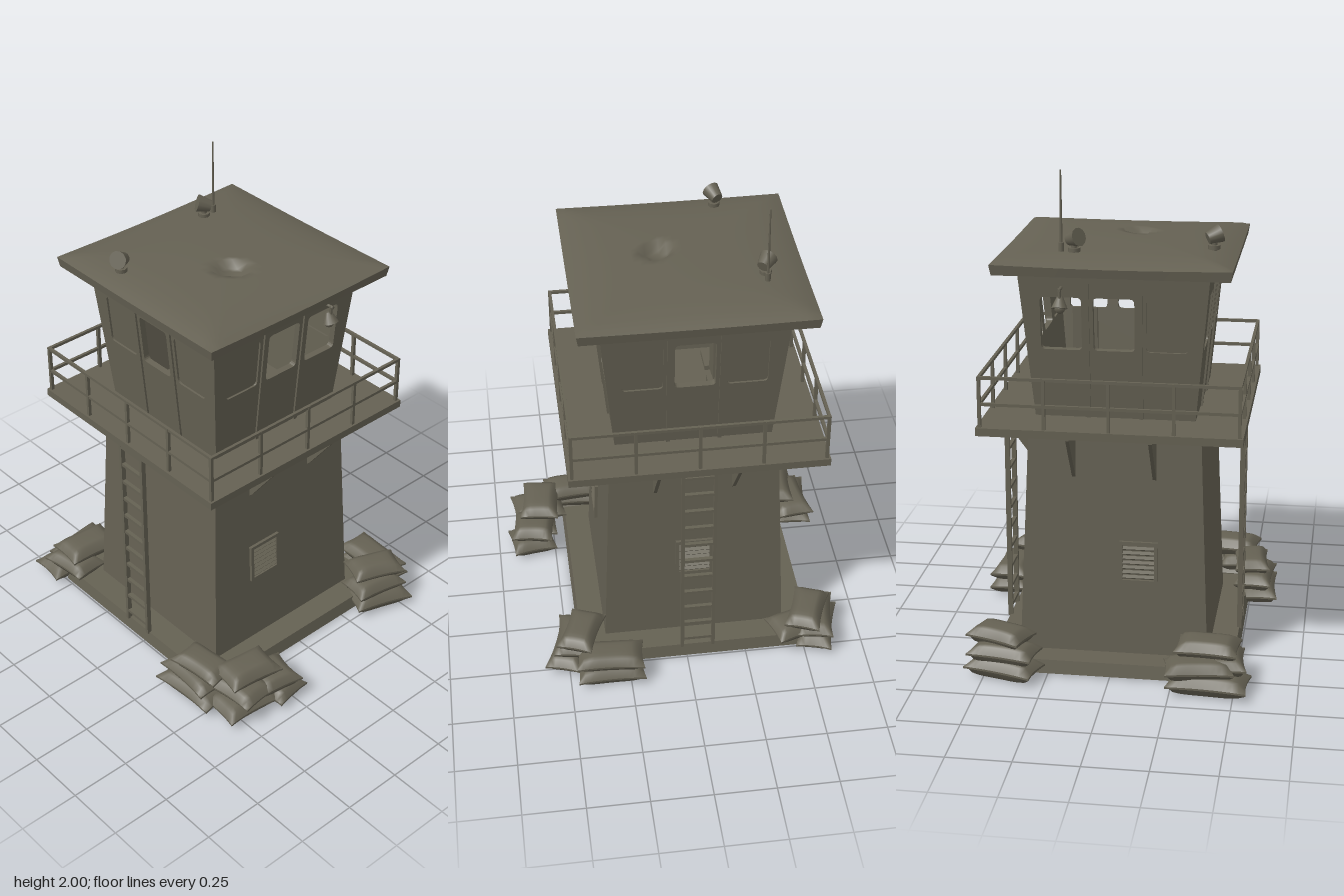
import * as THREE from 'three';

const olive = new THREE.MeshStandardMaterial({ color: 0x656153 });
olive.name = 'weathered olive';

function add(parent, name, geometry, x = 0, y = 0, z = 0) {
  const mesh = new THREE.Mesh(geometry, olive);
  mesh.name = name;
  mesh.position.set(x, y, z);
  parent.add(mesh);
  return mesh;
}
const box = (w, h, d) => new THREE.BoxGeometry(w, h, d);
const rod = (r, h) => new THREE.CylinderGeometry(r, r, h, 8);

function group(parent, name, x = 0, y = 0, z = 0) {
  const g = new THREE.Group();
  g.name = name;
  g.position.set(x, y, z);
  parent.add(g);
  return g;
}

// Square block tapering from one half-width to another
function taper(half0, half1, y0, y1) {
  const g = new THREE.BoxGeometry(2, y1 - y0, 2);
  const p = g.attributes.position;
  for (let i = 0; i < p.count; i++) {
    const top = p.getY(i) > 0, s = top ? half1 : half0;
    p.setXYZ(i, p.getX(i) * s, top ? y1 : y0, p.getZ(i) * s);
  }
  g.computeVertexNormals();
  return g;
}

// Slightly domed roof slab with a round dent
function roofGeometry() {
  const g = new THREE.BoxGeometry(0.92, 0.045, 0.92, 32, 1, 32);
  const p = g.attributes.position;
  for (let i = 0; i < p.count; i++) {
    const x = p.getX(i), z = p.getZ(i);
    if (p.getY(i) < 0) { p.setXYZ(i, x * 0.985, 1.62, z * 0.985); continue; }
    const edge = Math.max(Math.abs(x), Math.abs(z)) / 0.46;
    const dent = Math.hypot(x - 0.1, z - 0.04) < 0.055 ? 0.03 : 0;
    p.setY(i, 1.66 + 0.028 * (1 - Math.pow(edge, 6)) + 0.008 * Math.cos(x * 5) * Math.cos(z * 4) - dent);
  }
  g.computeVertexNormals();
  return g;
}

// Cabin wall: leaning trapezoid with three rounded window openings
const LEAN = Math.atan2(0.055, 0.59), WALL_H = Math.hypot(0.055, 0.59);
function wallGeometry() {
  const s = new THREE.Shape();
  s.moveTo(-0.315, 0);
  s.lineTo(0.315, 0);
  s.lineTo(0.37, WALL_H);
  s.lineTo(-0.37, WALL_H);
  s.closePath();
  for (const cx of [-0.205, 0, 0.205]) {
    const a = cx - 0.08, b = cx + 0.08, c = 0.28, d = 0.493, r = 0.018;
    const h = new THREE.Path();
    h.moveTo(a + r, c);
    h.lineTo(b - r, c);
    h.quadraticCurveTo(b, c, b, c + r);
    h.lineTo(b, d - r);
    h.quadraticCurveTo(b, d, b - r, d);
    h.lineTo(a + r, d);
    h.quadraticCurveTo(a, d, a, d - r);
    h.lineTo(a, c + r);
    h.quadraticCurveTo(a, c, a + r, c);
    s.holes.push(h);
  }
  return new THREE.ExtrudeGeometry(s, { depth: 0.025, bevelEnabled: false, curveSegments: 4 }).translate(0, 0, -0.025);
}

// Pillow-shaped bag with thin seams and pulled-out corners
function bagGeometry(len, wid, h) {
  const g = new THREE.BoxGeometry(2, 2, 2, 12, 2, 8);
  const p = g.attributes.position;
  for (let i = 0; i < p.count; i++) {
    const x = p.getX(i), z = p.getZ(i);
    const fat = 0.1 + 0.9 * Math.sqrt((1 - x ** 4) * (1 - z ** 4));
    p.setXYZ(i, x * len / 2 * (0.94 + 0.06 * z * z), p.getY(i) * h / 2 * fat, z * wid / 2 * (0.88 + 0.12 * x * x));
  }
  g.computeVertexNormals();
  return g;
}

function ladder(side) {
  const g = group(side, 'ladder', 0, 0, 0.485);
  for (const s of [-1, 1]) add(g, 'ladderRail', box(0.014, 0.95, 0.02), s * 0.065, 0.53, 0);
  for (let i = 0; i < 11; i++) add(g, 'ladderRung', box(0.13, 0.013, 0.016), 0, 0.1 + i * 0.087, 0);
}

function vent(side, x) {
  const g = group(side, 'vent', x, 0.45, 0.364);
  g.rotation.x = -0.042;
  for (const s of [-1, 1]) {
    add(g, 'ventFrame', box(0.014, 0.17, 0.024), s * 0.07, 0, 0);
    add(g, 'ventFrame', box(0.154, 0.014, 0.024), 0, s * 0.08, 0);
  }
  for (let i = 0; i < 7; i++) add(g, 'ventSlat', box(0.13, 0.005, 0.02), 0, -0.06 + i * 0.02, 0.002).rotation.x = 0.6;
}

function bracketGeometry() {
  const s = new THREE.Shape([[0.335, 1.002], [0.345, 0.79], [0.365, 0.81], [0.5, 0.99], [0.5, 1.002]].map(([a, b]) => new THREE.Vector2(a, b)));
  return new THREE.ExtrudeGeometry(s, { depth: 0.014, bevelEnabled: false }).rotateY(-Math.PI / 2).translate(0.007, 0, 0);
}

// Swivelling searchlight on a short post
function searchlight(parent, x, z, turn) {
  const g = group(parent, 'searchlight', x, 1.68, z);
  add(g, 'lightPost', rod(0.012, 0.05), 0, 0.025, 0);
  add(g, 'lightBase', rod(0.024, 0.016), 0, 0.014, 0);
  const head = add(g, 'lightHead', new THREE.CylinderGeometry(0.036, 0.024, 0.055, 12), 0, 0.058, 0);
  head.rotation.set(1.2, 0, turn);
}

export function createModel() {
  const model = new THREE.Group();
  model.name = 'watchtower';
  const tower = group(model, 'tower', -0.045, 0, 0);

  add(tower, 'baseSlab', taper(0.495, 0.485, 0.005, 0.06));
  add(tower, 'shaft', taper(0.38, 0.34, 0.05, 1.01));
  add(tower, 'platform', box(1.03, 0.032, 1.03), 0, 1.016, 0);
  add(tower, 'roof', roofGeometry());

  // Four sides: 0 front, 1 left, 2 back, 3 right
  const wall = wallGeometry(), bracket = bracketGeometry();
  const shutters = [[-1, 1], [-1], [-1, 1], [1]];
  for (let k = 0; k < 4; k++) {
    const side = group(tower, 'side');
    side.rotation.y = k * Math.PI / 2;

    const cabin = group(side, 'cabinSide', 0, 1.03, 0.315);
    cabin.rotation.x = LEAN;
    add(cabin, 'cabinWall', wall);
    for (const s of shutters[k]) add(cabin, 'windowPanel', box(0.17, 0.225, 0.008), s * 0.205, 0.387, -0.012);
    for (const s of [-1, 1]) add(cabin, 'mullion', box(0.016, WALL_H, 0.012), s * 0.103, WALL_H / 2, 0.002);

    // Guard rail
    for (const y of [1.125, 1.23]) add(side, 'guardRail', box(1.01, 0.012, 0.012), 0, y, 0.5);
    for (let i = 0; i < 4; i++) add(side, 'railPost', box(0.013, 0.21, 0.013), -0.5 + i * 0.25, 1.13, 0.5);

    if (k > 0) {
      for (const s of [-1, 1]) add(side, 'bracket', bracket, s * 0.16, 0, 0);
      vent(side, [0, -0.1, 0, 0.1][k]);
    }
    if (k % 2 === 0) ladder(side);
  }

  // Operator desk and seat inside the cabin
  add(tower, 'desk', box(0.2, 0.2, 0.1), -0.17, 1.13, -0.22);
  add(tower, 'seatPost', rod(0.012, 0.18), -0.13, 1.12, -0.04);
  add(tower, 'seat', box(0.11, 0.02, 0.11), -0.13, 1.21, -0.04);
  add(tower, 'seatBack', box(0.015, 0.2, 0.1), -0.1, 1.32, -0.15);

  // Roof equipment
  searchlight(tower, -0.295, -0.16, 0.6);
  searchlight(tower, -0.175, 0.365, -0.4);
  add(tower, 'antennaBase', rod(0.011, 0.05), -0.295, 1.695, -0.21);
  add(tower, 'antenna', new THREE.CylinderGeometry(0.003, 0.006, 0.32, 6), -0.295, 1.84, -0.21);

  // Hanging lamps under the eaves
  for (const s of [-1, 1]) {
    const lamp = group(tower, 'hangingLamp', s * 0.395, 1.5, -0.2);
    add(lamp, 'lampArm', rod(0.006, 0.07), -s * 0.012, 0.06, 0).rotation.z = Math.PI / 2;
    add(lamp, 'lampStem', rod(0.006, 0.05), s * 0.01, 0.04, 0);
    add(lamp, 'lampShade', new THREE.CylinderGeometry(0.012, 0.032, 0.045, 12), s * 0.005, 0.01, 0).rotation.z = s * 0.35;
    add(lamp, 'lampBulb', new THREE.SphereGeometry(0.022, 10, 8), s * 0.003, -0.012, 0);
  }

  // Sandbags at the corners: x, y, z, length, width, turn
  const bags = [
    [0.38, 0.04, 0.53, 0.3, 0.17, 0.05], [0.57, 0.04, 0.44, 0.26, 0.19, 1.5], [0.6, 0.04, 0.28, 0.19, 0.17, 0.15],
    [0.37, 0.095, 0.52, 0.27, 0.16, -0.05], [0.56, 0.1, 0.44, 0.23, 0.18, 0.1], [0.59, 0.1, 0.3, 0.18, 0.19, -0.15],
    [0.4, 0.15, 0.5, 0.24, 0.15, 0.1], [0.55, 0.165, 0.4, 0.24, 0.17, 1.45],
    [-0.6, 0.04, 0.4, 0.32, 0.17, 1.5], [-0.59, 0.095, 0.36, 0.27, 0.16, 1.7], [-0.52, 0.1, 0.46, 0.22, 0.16, 0.1], [-0.52, 0.155, 0.39, 0.25, 0.17, 1.5],
    [0.33, 0.04, -0.56, 0.28, 0.16, 0], [0.49, 0.045, -0.43, 0.26, 0.15, 1.25],
    [0.33, 0.1, -0.55, 0.28, 0.16, -0.06], [0.47, 0.105, -0.42, 0.24, 0.15, 1.4], [0.44, 0.16, -0.45, 0.23, 0.15, 1.2],
    [-0.57, 0.04, -0.42, 0.29, 0.15, 1.3], [-0.47, 0.095, -0.46, 0.22, 0.16, 0.3],
    [-0.56, 0.1, -0.42, 0.27, 0.15, 1.4], [-0.52, 0.155, -0.44, 0.24, 0.15, 1.2],
  ];
  const pile = group(model, 'sandbags');
  for (const [x, y, z, len, wid, turn] of bags) {
    const bag = group(pile, 'sandbag', x, y, z);
    bag.rotation.y = turn;
    add(bag, 'sack', bagGeometry(len, wid, 0.08));
  }
  return model;
}
